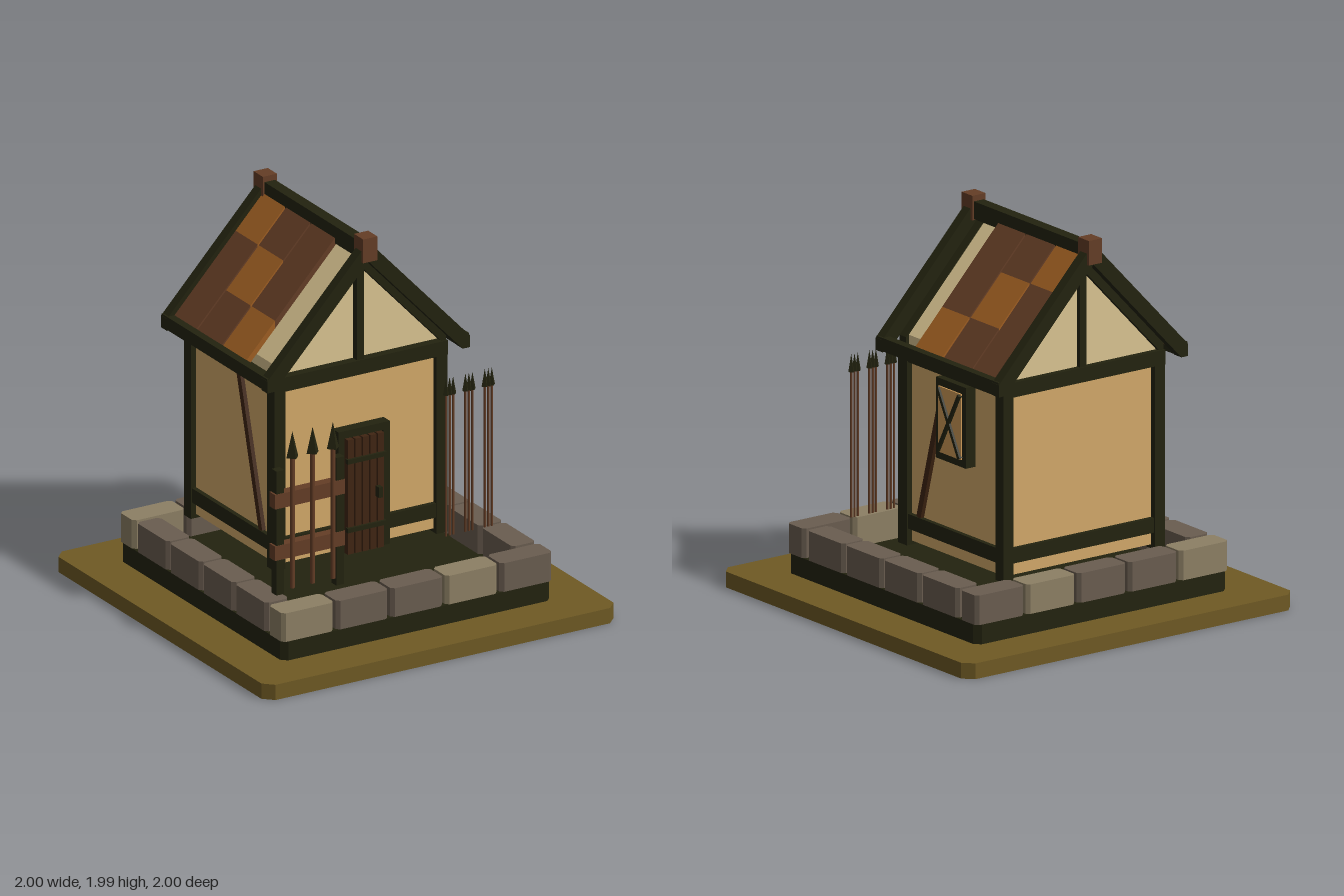
import * as THREE from 'three';

const mat = (name, color) => {
  const m = new THREE.MeshStandardMaterial({ color });
  m.name = name;
  return m;
};

export function createModel() {
  const M = {
    ground: mat('olive ground', 0x6f5a24),
    timber: mat('dark timber', 0x23230f),
    stone: mat('grey stone', 0x6a5d50),
    paleStone: mat('pale stone', 0x8d8065),
    plaster: mat('tan plaster', 0xd4aa6a),
    cream: mat('cream plaster', 0xdbc592),
    wood: mat('brown wood', 0x653e26),
    darkWood: mat('dark brown wood', 0x402512),
    orange: mat('orange tile', 0xa05f22),
    pane: mat('amber pane', 0xd09c58),
  };
  const model = new THREE.Group();
  model.name = 'guardHouse';
  let parent = model;
  const group = (name) => {
    parent = new THREE.Group();
    parent.name = name;
    model.add(parent);
  };
  const add = (name, geo, material) => {
    const m = new THREE.Mesh(geo, material);
    m.name = name;
    parent.add(m);
    return m;
  };
  // Box given by its limits
  const box = (name, x0, x1, y0, y1, z0, z1, material) => {
    const m = add(name, new THREE.BoxGeometry(x1 - x0, y1 - y0, z1 - z0), material);
    m.position.set((x0 + x1) / 2, (y0 + y1) / 2, (z0 + z1) / 2);
    return m;
  };
  // Block with cut vertical corners
  const block = (name, x0, x1, y0, y1, z0, z1, c, material) => {
    const a = (x1 - x0) / 2, b = (z1 - z0) / 2;
    const pts = [[-a + c, -b], [a - c, -b], [a, -b + c], [a, b - c], [a - c, b], [-a + c, b], [-a, b - c], [-a, -b + c]];
    const shape = new THREE.Shape(pts.map((p) => new THREE.Vector2(...p)));
    const geo = new THREE.ExtrudeGeometry(shape, { depth: y1 - y0, bevelEnabled: false });
    geo.rotateX(-Math.PI / 2);
    add(name, geo, material).position.set((x0 + x1) / 2, y0, (z0 + z1) / 2);
  };
  // Outline in the xy plane, extruded from z0 to z1
  const prism = (name, pts, z0, z1, material) => {
    const shape = new THREE.Shape(pts.map((p) => new THREE.Vector2(...p)));
    const geo = new THREE.ExtrudeGeometry(shape, { depth: z1 - z0, bevelEnabled: false });
    add(name, geo, material).position.z = z0;
  };
  // Sloping roof piece on side s between distances x0 and x1 from the ridge
  const SLOPE = 1.066;
  const sloped = (name, s, x0, x1, top, h, z0, z1, material, cut) => {
    const y = (x) => top - SLOPE * x;
    const end = cut === undefined
      ? [[s * x1, y(x1) - h]]
      : [[s * x1, cut], [s * (top - h - cut) / SLOPE, cut]];
    prism(name, [[s * x0, y(x0)], [s * x1, y(x1)], ...end, [s * x0, y(x0) - h]], z0, z1, material);
  };
  // Straight bar on a side wall, from (y, z) to (y, z)
  const sideBar = (name, x, y0, z0, y1, z1, w, t, material) => {
    const m = add(name, new THREE.BoxGeometry(t, Math.hypot(y1 - y0, z1 - z0), w), material);
    m.position.set(x, (y0 + y1) / 2, (z0 + z1) / 2);
    m.rotation.x = Math.atan2(z1 - z0, y1 - y0);
  };

  // Ground slab and plinth
  group('base');
  block('ground', -1, 1, 0, 0.08, -1, 1, 0.05, M.ground);
  block('plinth', -0.765, 0.765, 0.08, 0.18, -0.765, 0.765, 0.03, M.timber);

  // Ring of stones
  group('stoneRing');
  for (let i = 0; i < 5; i++) {
    const x = (i - 2) * 0.31;
    const m = i === 0 || i === 3 ? M.paleStone : M.stone;
    for (const s of [-1, 1]) block('stone', x - 0.147, x + 0.147, 0.18, 0.33, s * 0.698 - 0.068, s * 0.698 + 0.068, 0.018, m);
  }
  for (let i = 0; i < 4; i++) {
    const z = (i - 1.5) * 0.307;
    for (const s of [-1, 1]) block('stone', s * 0.7 - 0.066, s * 0.7 + 0.066, 0.18, 0.33, z - 0.146, z + 0.146, 0.018, M.stone);
  }

  // Walls and timber frame
  group('house');
  box('walls', -0.46, 0.46, 0.33, 1.31, -0.585, 0.205, M.plaster);
  for (const s of [-1, 1]) {
    const x = s * 0.46;
    box('cornerPost', x - 0.031, x + 0.031, 0.31, 1.3, 0.165, 0.235, M.timber);
    box('cornerPost', x - 0.031, x + 0.031, 0.31, 1.3, -0.615, -0.55, M.timber);
    box('sideSill', x - 0.024, x + 0.024, 0.395, 0.47, -0.56, 0.18, M.timber);
    box('sidePlate', x - 0.024, x + 0.024, 1.24, 1.315, -0.56, 0.18, M.timber);
    sideBar('brace', s * 0.468, 0.47, 0.085, 1.25, -0.13, 0.034, 0.025, M.darkWood);
  }
  for (const z of [0.203, -0.583]) {
    box('endSill', -0.45, 0.45, 0.395, 0.47, z - 0.026, z + 0.026, M.timber);
    box('endPlate', -0.492, 0.492, 1.24, 1.315, z - 0.033, z + 0.033, M.timber);
    box('gablePost', -0.02, 0.02, 1.31, 1.79, z - 0.026, z + 0.026, M.timber);
  }
  prism('gable', [[-0.467, 1.31], [0.467, 1.31], [0.467, 1.372], [0, 1.87], [-0.467, 1.372]], -0.585, 0.19, M.cream);

  // Roof timbers and tiles
  group('roof');
  const rows = [[-0.18, 0.04], [-0.418, -0.19], [-0.635, -0.428]];
  const steps = [0.02, 0.185, 0.37, 0.535];
  for (const s of [-1, 1]) {
    sloped('bargeboard', s, 0, 0.575, 1.96, 0.105, 0.25, 0.305, M.timber, 1.285);
    sloped('bargeboard', s, 0, 0.575, 1.96, 0.105, -0.69, -0.635, M.timber, 1.285);
    sloped('rafter', s, 0, 0.485, 1.88, 0.075, 0.18, 0.23, M.timber);
    sloped('rafter', s, 0, 0.485, 1.88, 0.075, -0.61, -0.56, M.timber);
    box('eaveBeam', s * 0.552 - 0.022, s * 0.552 + 0.022, 1.29, 1.358, -0.685, 0.3, M.timber);
    rows.forEach(([z0, z1], r) => {
      for (let k = 0; k < 3; k++) {
        sloped('tile', s, steps[k], steps[k + 1], 1.925, 0.04, z0, z1, k === 2 - r ? M.orange : M.wood);
      }
    });
  }
  box('ridgeBeam', -0.03, 0.03, 1.865, 1.955, -0.685, 0.3, M.timber);
  for (const z of [0.278, -0.662]) box('ridgeCap', -0.04, 0.04, 1.86, 1.985, z - 0.043, z + 0.043, M.wood);

  // Door with planks, straps and handle
  group('door');
  for (const s of [-1, 1]) box('doorJamb', s * 0.128 - 0.018, s * 0.128 + 0.018, 0.33, 0.975, 0.2, 0.263, M.timber);
  box('doorLintel', -0.11, 0.11, 0.935, 0.975, 0.2, 0.263, M.timber);
  box('doorBack', -0.11, 0.11, 0.33, 0.935, 0.2, 0.25, M.timber);
  for (let i = -2; i <= 2; i++) box('doorPlank', i * 0.043 - 0.017, i * 0.043 + 0.017, 0.33, 0.93, 0.24, 0.28, M.darkWood);
  for (const y of [0.46, 0.82]) box('doorStrap', -0.11, 0.11, y - 0.012, y + 0.012, 0.27, 0.292, M.timber);
  box('doorHandle', 0.055, 0.077, 0.605, 0.66, 0.28, 0.312, M.timber);

  // Window on one side wall
  group('window');
  const W = { y0: 0.83, y1: 1.24, z0: -0.35, z1: -0.108 };
  for (const z of [W.z0 + 0.015, W.z1 - 0.015]) box('windowSide', 0.45, 0.52, W.y0, W.y1, z - 0.015, z + 0.015, M.timber);
  for (const y of [W.y0 + 0.02, W.y1 - 0.02]) box('windowRail', 0.45, 0.52, y - 0.02, y + 0.02, W.z0, W.z1, M.timber);
  box('windowPane', 0.45, 0.528, W.y0 + 0.038, W.y1 - 0.038, W.z0 + 0.03, W.z1 - 0.03, M.pane);
  sideBar('windowCross', 0.53, 0.875, -0.315, 1.195, -0.143, 0.018, 0.02, M.timber);
  sideBar('windowCross', 0.531, 0.875, -0.143, 1.195, -0.315, 0.018, 0.02, M.timber);

  // Fence
  group('fence');
  for (const x of [-0.648, -0.308]) box('fencePost', x - 0.022, x + 0.022, 0.31, 0.98, 0.503, 0.547, M.timber);
  for (const y of [0.552, 0.822]) box('fenceRail', -0.68, -0.283, y - 0.038, y + 0.038, 0.498, 0.55, M.wood);

  // Spears, thick ones along the fence and thin bundles beside the house
  const spear = (x, z, y0, y1, r, tipR, tipH) => {
    const shaft = add('spearShaft', new THREE.CylinderGeometry(r, r, y1 - tipH - y0, 6), M.wood);
    shaft.position.set(x, (y0 + y1 - tipH) / 2, z);
    const geo = new THREE.ConeGeometry(tipR, tipH, 4).toNonIndexed();
    geo.computeVertexNormals();
    add('spearTip', geo, M.timber).position.set(x, y1 - tipH / 2, z);
  };
  group('spears');
  for (const x of [-0.595, -0.48, -0.365]) spear(x, 0.572, 0.365, 1.185, 0.012, 0.034, 0.135);
  for (const x of [0.362, 0.472, 0.582]) {
    for (const d of [-0.02, 0, 0.02]) spear(x + d, 0.466, 0.4, 1.23, 0.006, 0.018, 0.09);
  }
  return model;
}
